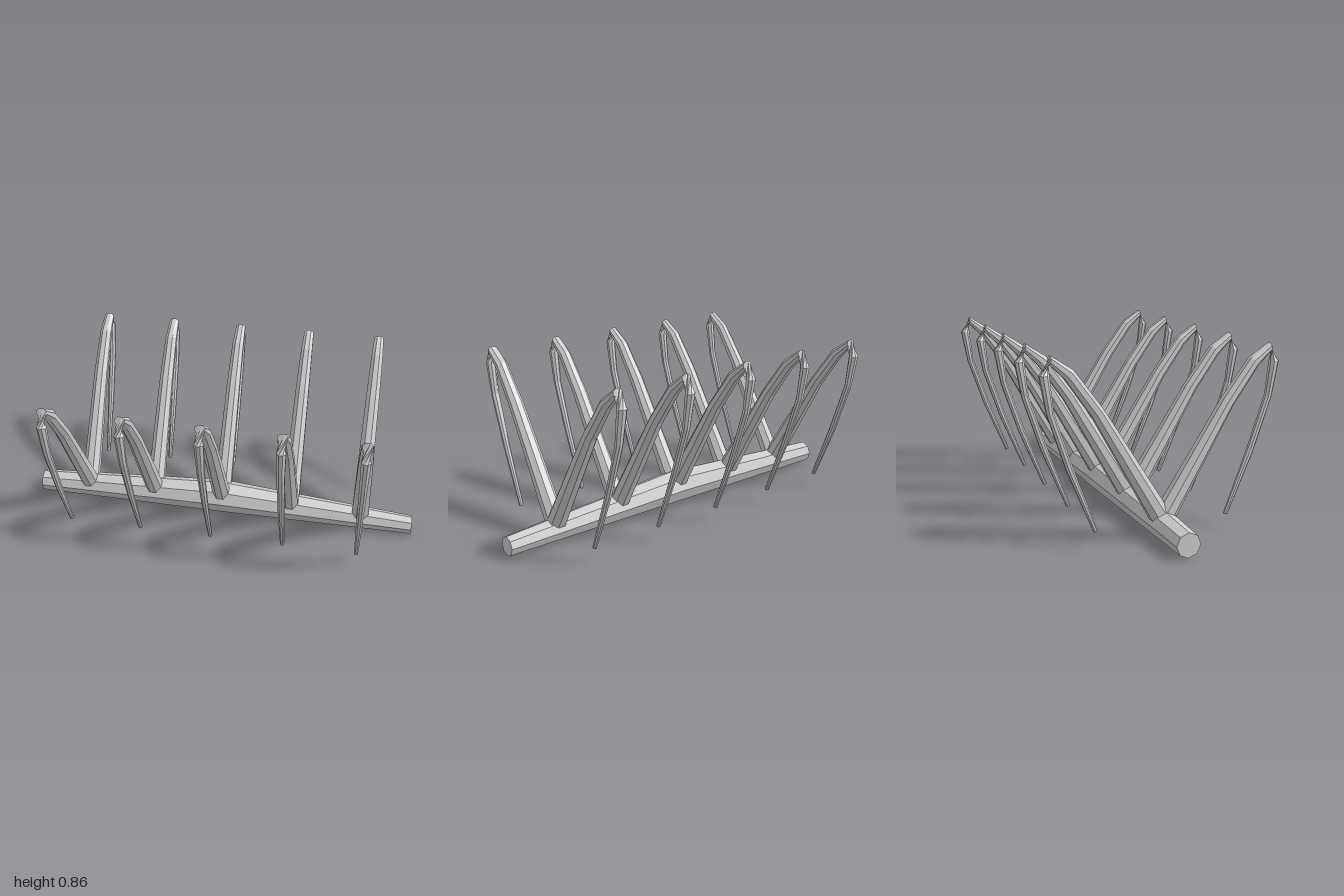
import * as THREE from 'three';

const SIDES = 8;
const material = new THREE.MeshStandardMaterial({ color: 0xcccccc, flatShading: true });

// Skins a list of rings (each SIDES points, counter-clockwise about the travel direction) and caps both ends
function loft(rings) {
  const pos = [];
  const tri = (...pts) => pts.forEach((p) => pos.push(p.x, p.y, p.z));
  for (let r = 0; r < rings.length - 1; r++) {
    for (let i = 0; i < SIDES; i++) {
      const j = (i + 1) % SIDES;
      const a = rings[r], b = rings[r + 1];
      tri(a[i], a[j], b[j]);
      tri(a[i], b[j], b[i]);
    }
  }
  const first = rings[0], last = rings[rings.length - 1];
  for (let i = 1; i < SIDES - 1; i++) {
    tri(first[0], first[i + 1], first[i]);
    tri(last[0], last[i], last[i + 1]);
  }
  const geo = new THREE.BufferGeometry();
  geo.setAttribute('position', new THREE.Float32BufferAttribute(pos, 3));
  geo.computeVertexNormals();
  return geo;
}

// Ring from a centre and two half-axes
function ring(centre, u, v, phase = 0) {
  return Array.from({ length: SIDES }, (_, i) => {
    const a = (i / SIDES) * Math.PI * 2 + phase;
    return centre.clone().addScaledVector(u, Math.cos(a)).addScaledVector(v, Math.sin(a));
  });
}

// Beam thickest in the middle: x, centre height, radius
function spineGeometry() {
  const stations = [[-1, 0.065, 0.057], [0, 0.095, 0.086], [1, 0.051, 0.048]];
  return loft(stations.map(([x, y, r]) => ring(
    new THREE.Vector3(x, y, 0), new THREE.Vector3(0, r, 0), new THREE.Vector3(0, 0, r))));
}

// Leg sections: upper/outer edge (z, y), lower/inner edge (z, y), half width in x
function legGeometry() {
  const sections = [
    [-0.027, 0.134, 0.052, 0.088, 0.043],
    [0.285, 0.621, 0.336, 0.591, 0.034],
    [0.418, 0.797, 0.455, 0.758, 0.029],
    [0.515, 0.860, 0.521, 0.824, 0.024],
    // past the knee, the skin turns a quarter
    [0.564, 0.778, 0.521, 0.778, 0.022],
    [0.533, 0.612, 0.503, 0.621, 0.018],
    [0.448, 0.361, 0.421, 0.376, 0.015],
    [0.327, 0.076, 0.309, 0.082, 0.010],
  ];
  const half = Math.PI / SIDES;
  return loft(sections.map(([oz, oy, iz, iy, w], k) => {
    const centre = new THREE.Vector3(0, (oy + iy) / 2, (oz + iz) / 2);
    const u = new THREE.Vector3(0, (oy - iy) / 2, (oz - iz) / 2).multiplyScalar(1 / Math.cos(half));
    const v = new THREE.Vector3(-w / Math.cos(half), 0, 0);
    return ring(centre, u, v, half + (k > 3 ? Math.PI / 2 : 0));
  }));
}

export function createModel() {
  const model = new THREE.Group();
  model.name = 'leggedBeam';

  const spine = new THREE.Mesh(spineGeometry(), material);
  spine.name = 'spine';
  model.add(spine);

  // Five pairs of bent legs along the beam
  const leg = legGeometry();
  for (let i = -2; i <= 2; i++) {
    const pair = new THREE.Group();
    pair.name = `legPair${i + 3}`;
    pair.position.x = i * 0.367;
    ['frontLeg', 'backLeg'].forEach((name, k) => {
      const mesh = new THREE.Mesh(leg, material);
      mesh.name = name;
      mesh.rotation.y = k * Math.PI;
      pair.add(mesh);
    });
    model.add(pair);
  }
  return model;
}
